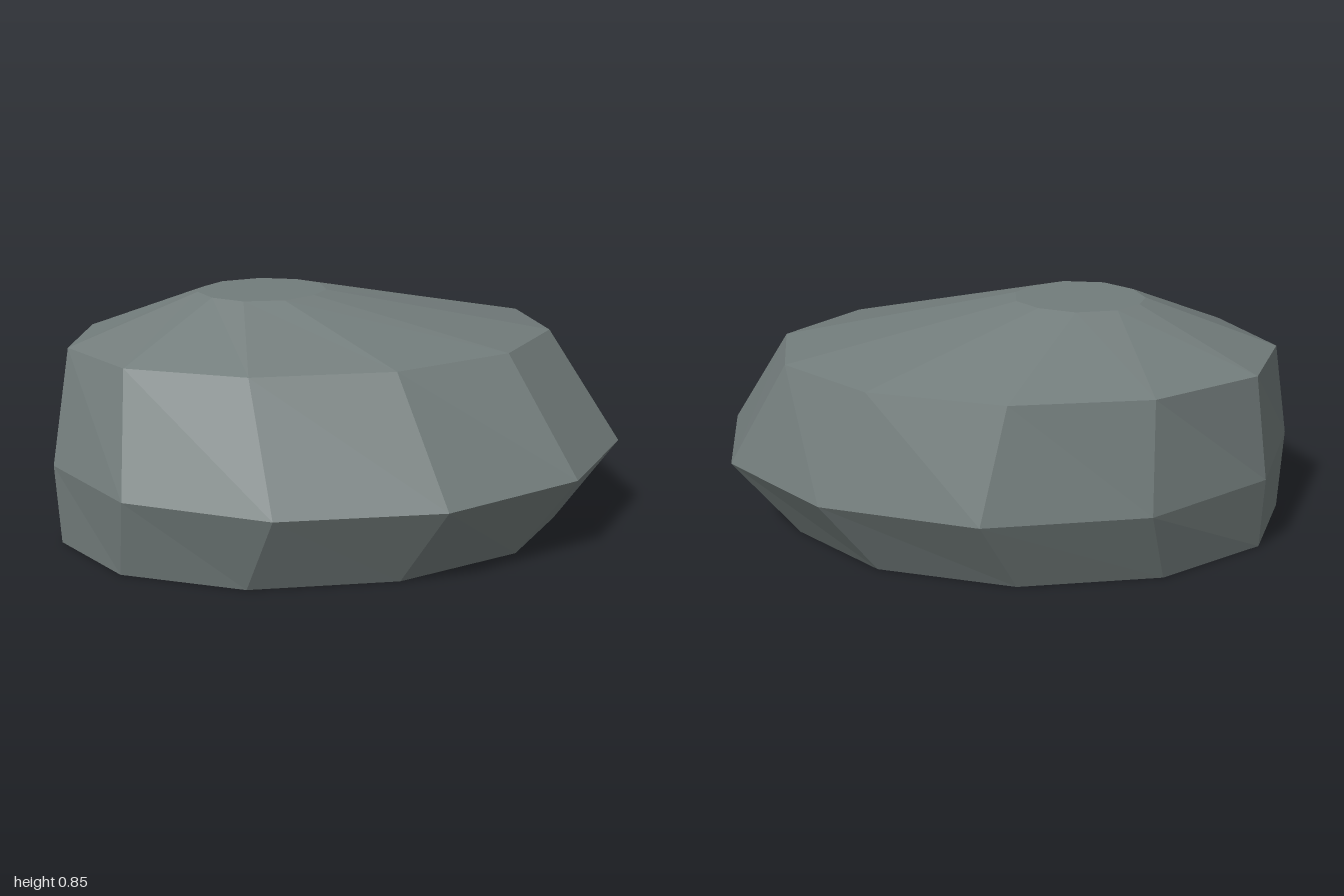
import * as THREE from 'three';

// Cross-sections from bottom to top: height and [x, z] corners, starting at +x and turning toward +z
const rings = [
  { y: 0, pts: [[0.775, 0.14], [0.55, 0.43], [0.11, 0.59], [-0.4, 0.57], [-0.8, 0.375], [-0.985, 0.06],
    [-0.885, -0.27], [-0.54, -0.51], [-0.05, -0.59], [0.425, -0.48], [0.727, -0.21]] },
  { y: 0.29, pts: [[1, 0.155], [0.73, 0.525], [0.235, 0.735], [-0.33, 0.71], [-0.79, 0.46], [-1, 0.07],
    [-0.885, -0.345], [-0.49, -0.645], [0.065, -0.74], [0.6, -0.6], [0.945, -0.27]] },
  { y: 0.67, pts: [[0.775, 0], [0.55, 0.265], [0.13, 0.41], [-0.36, 0.39], [-0.755, 0.215], [-0.93, -0.065],
    [-0.835, -0.355], [-0.49, -0.57], [-0.02, -0.635], [0.44, -0.535], [0.735, -0.3]] },
  { y: 0.845, pts: [[-0.03, -0.035], [-0.085, 0.035], [-0.195, 0.09], [-0.335, 0.08], [-0.435, 0.01], [-0.475, -0.08],
    [-0.45, -0.15], [-0.375, -0.215], [-0.235, -0.24], [-0.11, -0.2], [-0.035, -0.13]] },
];

function loftGeometry(sections) {
  const pos = [];
  const n = sections[0].pts.length;
  const tri = (...corners) => corners.forEach((c) => pos.push(...c));
  const at = (r, i) => {
    const [x, z] = sections[r].pts[i % n];
    return [x, sections[r].y, z];
  };
  const last = sections.length - 1;
  // Sides
  for (let r = 0; r < last; r++) {
    for (let i = 0; i < n; i++) {
      tri(at(r, i), at(r + 1, i), at(r + 1, i + 1));
      tri(at(r, i), at(r + 1, i + 1), at(r, i + 1));
    }
  }
  // Flat underside and flat crown
  for (let i = 1; i < n - 1; i++) {
    tri(at(0, 0), at(0, i), at(0, i + 1));
    tri(at(last, 0), at(last, i + 1), at(last, i));
  }
  const geo = new THREE.BufferGeometry();
  geo.setAttribute('position', new THREE.Float32BufferAttribute(pos, 3));
  geo.computeVertexNormals(); // unshared corners give flat facets
  return geo;
}

export function createModel() {
  const group = new THREE.Group();
  group.name = 'rock';
  const stone = new THREE.MeshStandardMaterial({ color: 0x727c7b, flatShading: true });
  stone.name = 'grey stone';
  const boulder = new THREE.Mesh(loftGeometry(rings), stone);
  boulder.name = 'boulder';
  group.add(boulder);
  return group;
}
